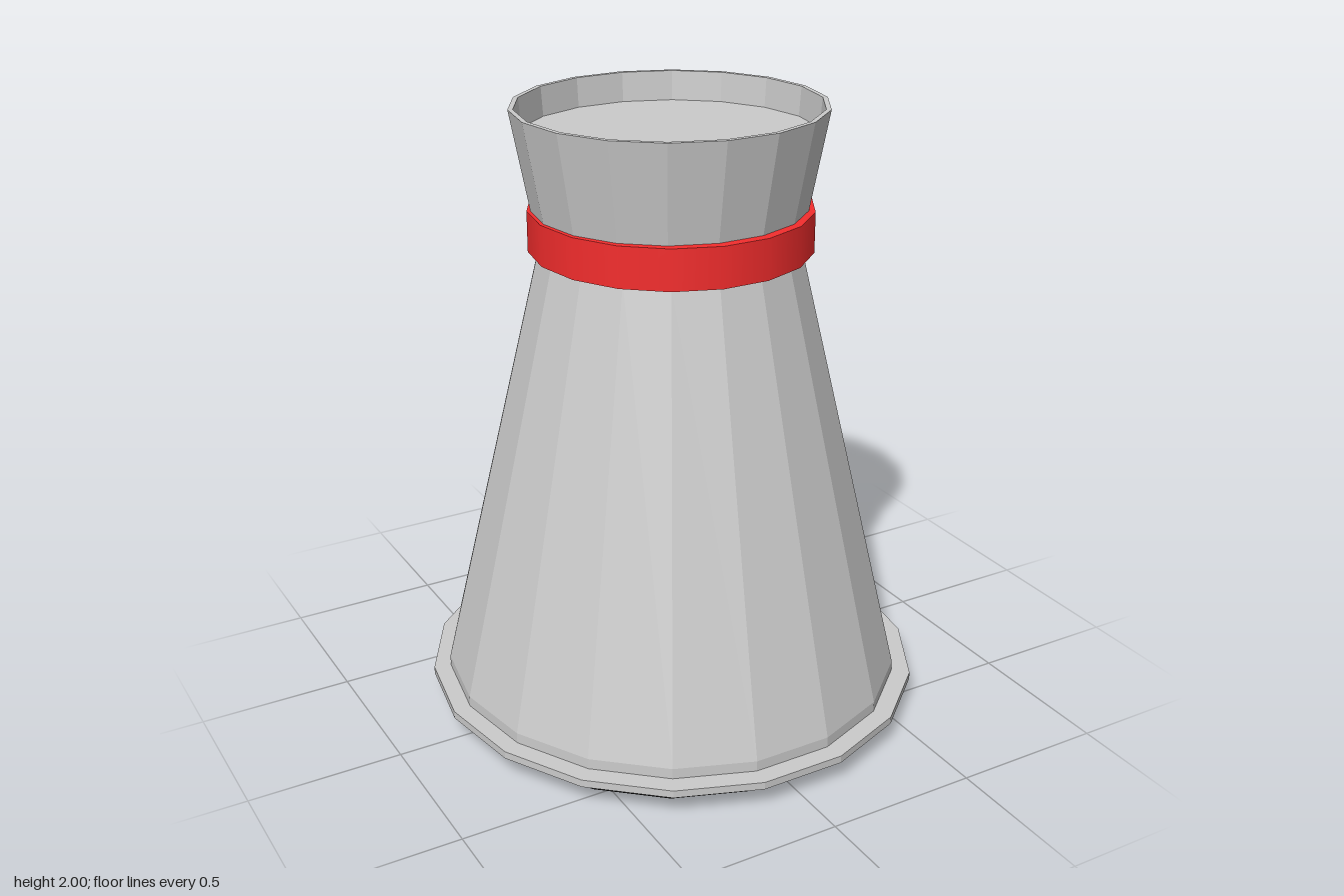
import * as THREE from 'three';

const SIDES = 18;

export function createModel() {
  const group = new THREE.Group();
  const grey = new THREE.MeshStandardMaterial({ color: 0xcccccc, flatShading: true });
  const black = new THREE.MeshStandardMaterial({ color: 0x0a0a0a, flatShading: true });
  const red = new THREE.MeshStandardMaterial({ color: 0xf42d2d });

  const add = (name, geometry, material, x = 0, z = 0) => {
    const mesh = new THREE.Mesh(geometry, material);
    mesh.name = name;
    mesh.position.set(x, 0, z);
    group.add(mesh);
  };

  // Faceted solid of revolution with a corner on the x axis, stretched along z
  const turned = (profile, depth) =>
    new THREE.LatheGeometry(profile.map(([r, y]) => new THREE.Vector2(r, y)), SIDES, Math.PI / 2)
      .scale(1, 1, depth);

  // Smooth-sided drum between two heights
  const drum = (radius, y0, y1, depth) =>
    new THREE.CylinderGeometry(radius, radius, y1 - y0, SIDES, 1, false, Math.PI / 2)
      .translate(0, (y0 + y1) / 2, 0)
      .scale(1, 1, depth);

  // Dark foot under the flange
  add('foot', drum(0.705, 0, 0.08, 1.035), black, -0.008, 0.002);

  // Wide thin plate the tower stands on
  add('flange', turned([[0, 0.075], [0.808, 0.075], [0.808, 0.1], [0, 0.1]], 1.036), grey);

  // Tapered shaft with a short upright skirt
  add('shaft', turned([[0.75, 0.1], [0.75, 0.135], [0.41, 1.56]], 1.04), grey, 0, -0.006);

  // Flared mouth with a thin rim and a shallow recessed floor
  add('mouth', turned([
    [0.41, 1.555], [0.493, 2], [0.477, 2], [0.47, 1.905], [0, 1.905],
  ], 0.982), grey, 0, -0.006);

  // Coloured band around the neck
  add('band', drum(0.447, 1.555, 1.685, 1.012), red);

  return group;
}
